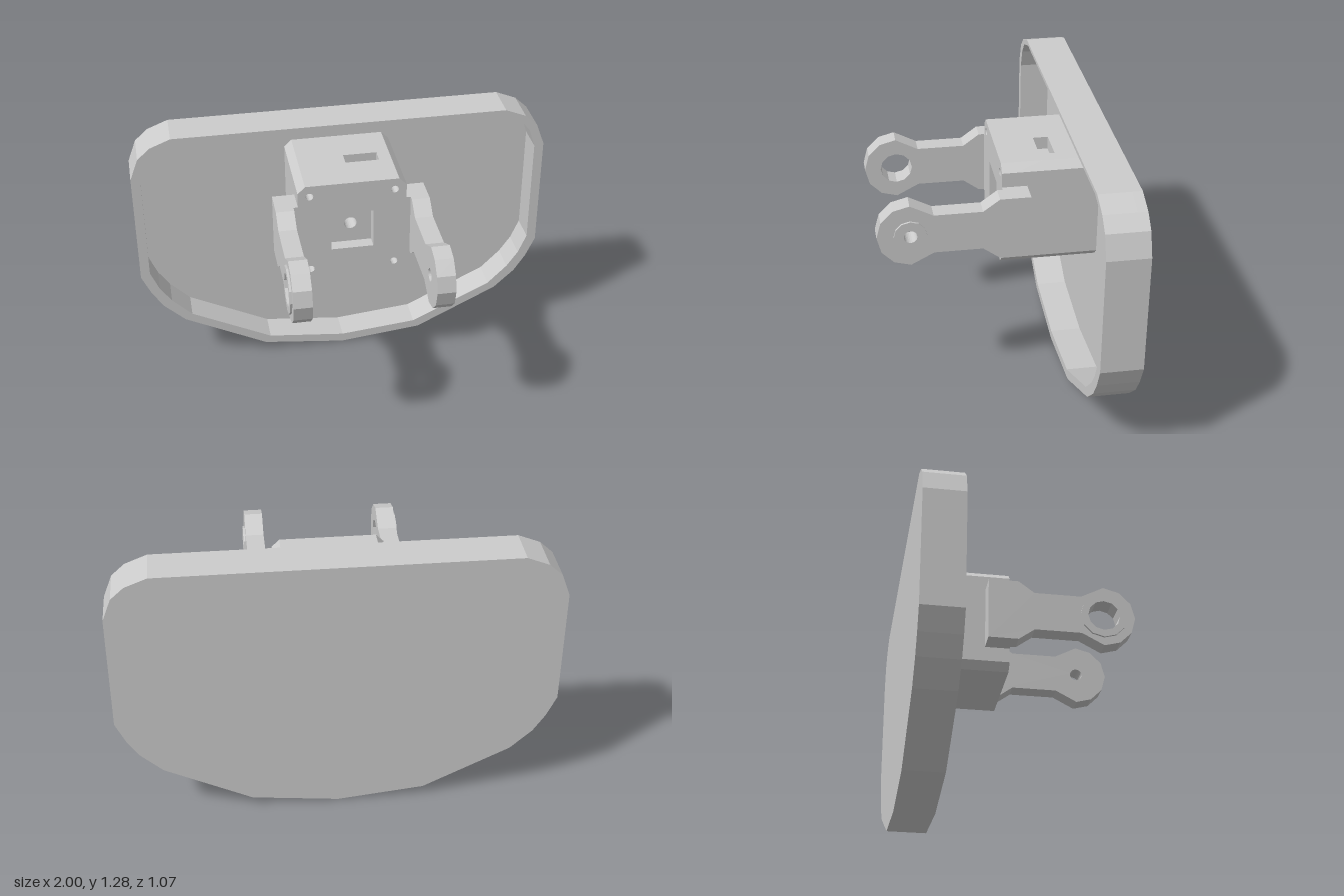
import * as THREE from 'three';

const material = new THREE.MeshStandardMaterial({ color: 0xcccccc, flatShading: true });
const MID_Y = 0.885;   // height of the bracket axis
const PIVOT_Z = 0.385; // pivot position in front of the plate

const toVectors = (points) => points.map(([x, y]) => new THREE.Vector2(x, y));

// Regular polygon standing in for a circle
function ring(cx, cy, r, n) {
  return Array.from({ length: n }, (_, i) => {
    const a = (i / n) * Math.PI * 2;
    return [cx + r * Math.cos(a), cy + r * Math.sin(a)];
  });
}

// Extruded outline with holes between two depths
function slab(name, outline, holes, z0, z1) {
  const shape = new THREE.Shape(toVectors(outline));
  holes.forEach((h) => shape.holes.push(new THREE.Path(toVectors(h))));
  const geometry = new THREE.ExtrudeGeometry(shape, { depth: z1 - z0, bevelEnabled: false });
  geometry.translate(0, 0, z0);
  const mesh = new THREE.Mesh(geometry, material);
  mesh.name = name;
  return mesh;
}

// Same, with the outline given as (z, y) and thickness along x
function sideSlab(name, outline, holes, x0, x1) {
  const mesh = slab(name, outline, holes, -x1, -x0);
  mesh.geometry.rotateY(-Math.PI / 2);
  return mesh;
}

// Completes a left-right symmetric outline from its +x half (bottom centre first)
function mirrored(half) {
  return [...half, ...half.slice(1).reverse().map(([x, y]) => [-x, y])];
}

const rect = (x0, y0, x1, y1) => [[x0, y0], [x1, y0], [x1, y1], [x0, y1]];

function createPlate() {
  const group = new THREE.Group();
  group.name = 'backPlate';
  const outer = mirrored([[0, 0], [0.4, 0.045], [0.8, 0.245], [0.9, 0.34], [0.955, 0.425],
    [1, 0.525], [1, 1.08], [0.96, 1.185], [0.9, 1.24], [0.8, 1.28]]);
  const inner = mirrored([[0, 0.045], [0.375, 0.083], [0.765, 0.275], [0.86, 0.37], [0.915, 0.45],
    [0.955, 0.545], [0.955, 1.07], [0.925, 1.16], [0.87, 1.225], [0.765, 1.262]]);
  group.add(slab('platePanel', outer, [], -0.53, -0.485));
  group.add(slab('plateRim', outer, [inner], -0.485, -0.34));
  return group;
}

function createHousing() {
  const group = new THREE.Group();
  group.name = 'housing';
  const w = 0.255, c = 0.22, top = 1.14, bottom = 0.63, cut = 0.035;
  const lower = [[-w, top - cut], [-w, bottom + cut], [-c, bottom], [c, bottom],
    [w, bottom + cut], [w, top - cut], [c, top]];
  const body = [...lower, [-c, top]];
  const notched = [...lower, [0.16, top], [0.16, top - 0.06], [0, top - 0.06], [0, top], [-c, top]];
  const screws = [];
  for (const x of [-0.2, 0.2]) for (const y of [0.685, 1.085]) screws.push(ring(x, y, 0.018, 16));

  group.add(slab('housingBase', body, [], -0.485, -0.295));
  // Band with the slot in its top
  group.add(slab('housingSlotBand', notched, [], -0.295, -0.225));
  // Bored core behind the square pocket
  group.add(slab('housingCore', body, [...screws, ring(0, MID_Y, 0.03, 24)], -0.225, -0.1));
  group.add(slab('housingFace', body, [...screws, rect(-0.1, 0.785, 0.1, 0.98)], -0.1, -0.04));
  return group;
}

function createArm(side) {
  const group = new THREE.Group();
  group.name = side > 0 ? 'leftArm' : 'rightArm';
  const span = (a, b) => (side > 0 ? [a, b] : [-b, -a]);

  // Rounded eye joined by a neck to the wide root
  const eye = ring(PIVOT_Z, MID_Y, 0.15, 12);
  const outline = [[-0.155, 0.735], [-0.015, 0.735], [0.06, 0.79], [0.28, 0.79],
    ...eye.slice(9), ...eye.slice(0, 4),
    [0.28, 0.98], [0.06, 0.98], [-0.015, 1.035], [-0.155, 1.035]];
  const bore = side > 0 ? ring(PIVOT_Z, MID_Y, 0.03, 24) : ring(PIVOT_Z, MID_Y, 0.075, 12);
  group.add(sideSlab('armBar', outline, [bore], ...span(0.275, 0.36)));

  // Thin raised boss around the bore
  const boss = ring(PIVOT_Z, MID_Y, side > 0 ? 0.075 : 0.11, 12);
  group.add(sideSlab('armBoss', boss, [bore], ...span(0.36, 0.37)));

  // Pad joining the arm to the housing
  group.add(sideSlab('armPad', rect(-0.155, 0.735, -0.04, 1.035), [], ...span(0.25, 0.275)));
  return group;
}

export function createModel() {
  const model = new THREE.Group();
  model.name = 'bracketPlate';
  model.add(createPlate(), createHousing(), createArm(1), createArm(-1));
  return model;
}
